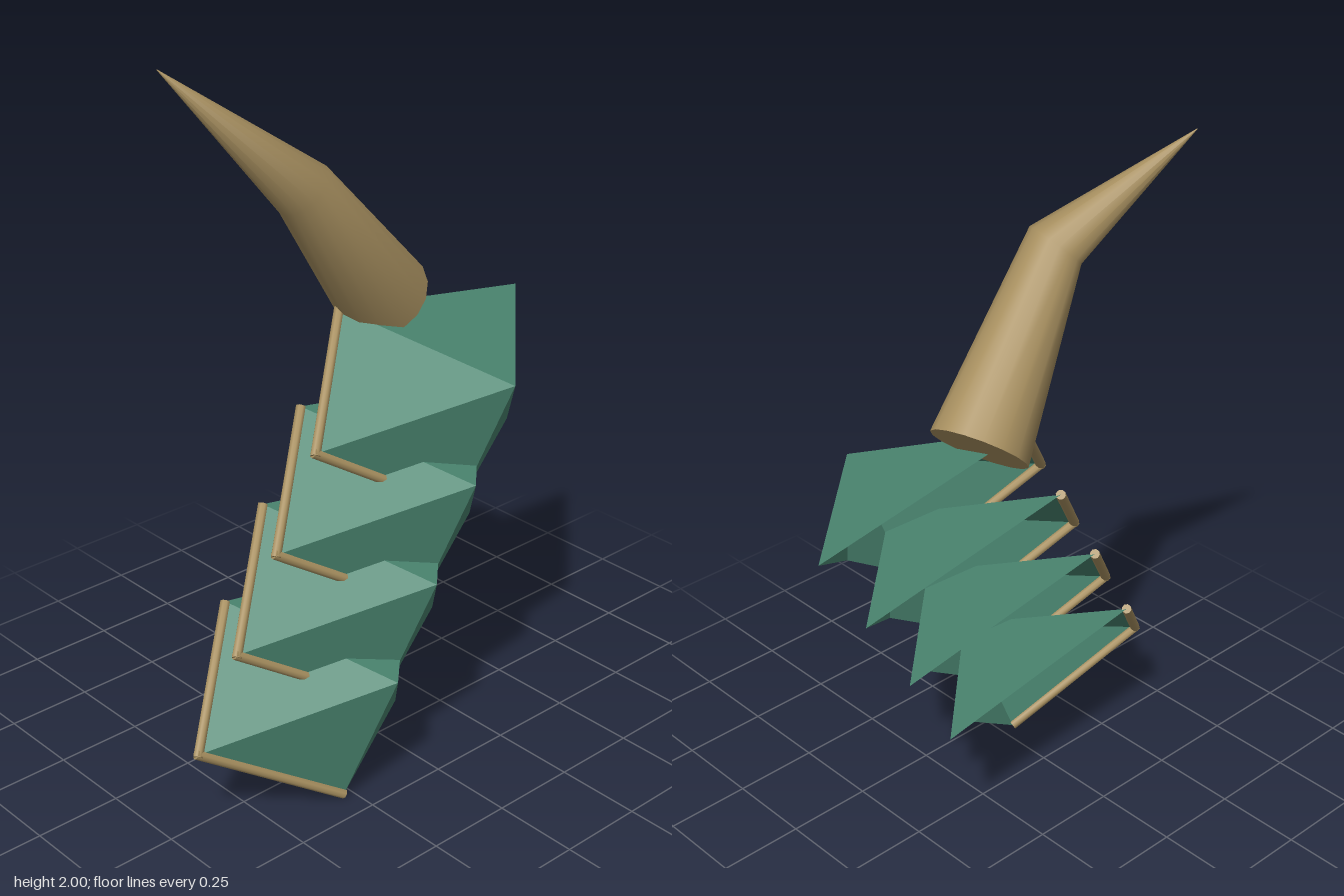
import * as THREE from 'three';

const V = (x, y, z) => new THREE.Vector3(x, y, z);

// Round bar through points with a radius at each, mitred at bends, flat caps at the ends
function sweep(points, radii, sides) {
  const pos = [], idx = [];
  const up = V(0, 1, 0), q = new THREE.Quaternion();
  const dirs = points.slice(1).map((p, i) => p.clone().sub(points[i]).normalize());
  const ring = (i) => {
    const t = (dirs[i - 1] || dirs[i]).clone().add(dirs[i] || dirs[i - 1]).normalize();
    q.setFromUnitVectors(up, t);
    for (let s = 0; s < sides; s++) {
      const a = (s / sides) * Math.PI * 2;
      const v = V(Math.cos(a) * radii[i], 0, Math.sin(a) * radii[i]).applyQuaternion(q).add(points[i]);
      pos.push(v.x, v.y, v.z);
    }
  };
  const last = points.length - 1;
  points.forEach((_, i) => ring(i));
  for (let i = 0; i < last; i++) {
    for (let s = 0; s < sides; s++) {
      const a = i * sides + s, b = i * sides + (s + 1) % sides;
      idx.push(a, a + sides, b, b, a + sides, b + sides);
    }
  }
  // caps use their own rings so the rims stay sharp
  for (const i of [0, last]) {
    const base = pos.length / 3;
    ring(i);
    for (let s = 1; s < sides - 1; s++) {
      if (i === 0) idx.push(base, base + s, base + s + 1);
      else idx.push(base, base + s + 1, base + s);
    }
  }
  const g = new THREE.BufferGeometry();
  g.setAttribute('position', new THREE.Float32BufferAttribute(pos, 3));
  g.setIndex(idx);
  g.computeVertexNormals();
  return g;
}

export function createModel() {
  const green = new THREE.MeshStandardMaterial({ color: 0x4a8570, side: THREE.DoubleSide });
  green.name = 'armorGreen';
  const tan = new THREE.MeshStandardMaterial({ color: 0xa89060 });
  tan.name = 'hornTan';

  const model = new THREE.Group();
  model.name = 'shoulderArmor';
  const add = (parent, geometry, material, name) => {
    const mesh = new THREE.Mesh(geometry, material);
    mesh.name = name;
    parent.add(mesh);
  };

  // Corners of the lowest plate
  const A = V(-0.677, 0.257, 0.04);   // outer corner
  const B = V(-0.185, 0.38, 0.28);    // front peak
  const C = V(-0.42, 0.537, -0.155);  // back top
  const D = V(0.265, 0.425, -0.155);  // inner corner
  const E = V(-0.283, 0.013, 0.17);   // bottom point
  const F = V(-0.04, 0.183, 0.115);   // bend in the lower edge

  // Faceted open shell
  const faces = [A, E, B, A, B, C, C, B, D, B, E, F, B, F, D];
  const shell = new THREE.BufferGeometry().setFromPoints(faces);
  shell.computeVertexNormals();

  // Thin rounded trim along the two outer edges, overlapping at the corner
  const r = 0.014;
  const past = (from, to) => to.clone().add(to.clone().sub(from).normalize().multiplyScalar(0.008));
  const backTrim = sweep([C, past(C, A)], [r, r], 8);
  const lowerTrim = sweep([past(E, A), E], [r, r], 8);

  // Four overlapping plates stepping up and inward
  for (let i = 0; i < 4; i++) {
    const plate = new THREE.Group();
    plate.name = 'plate' + (i + 1);
    plate.position.set(0.14 * i, 0.247 * i, 0);
    add(plate, shell, green, 'plateShell');
    add(plate, backTrim, tan, 'backTrim');
    add(plate, lowerTrim, tan, 'lowerTrim');
    model.add(plate);
  }

  // Bent horn on top
  const horn = sweep(
    [V(0.152, 1.28, -0.15), V(-0.22, 1.692, -0.038), V(-0.485, 2, -0.265)],
    [0.133, 0.083, 0.001], 16);
  add(model, horn, tan, 'horn');

  return model;
}
